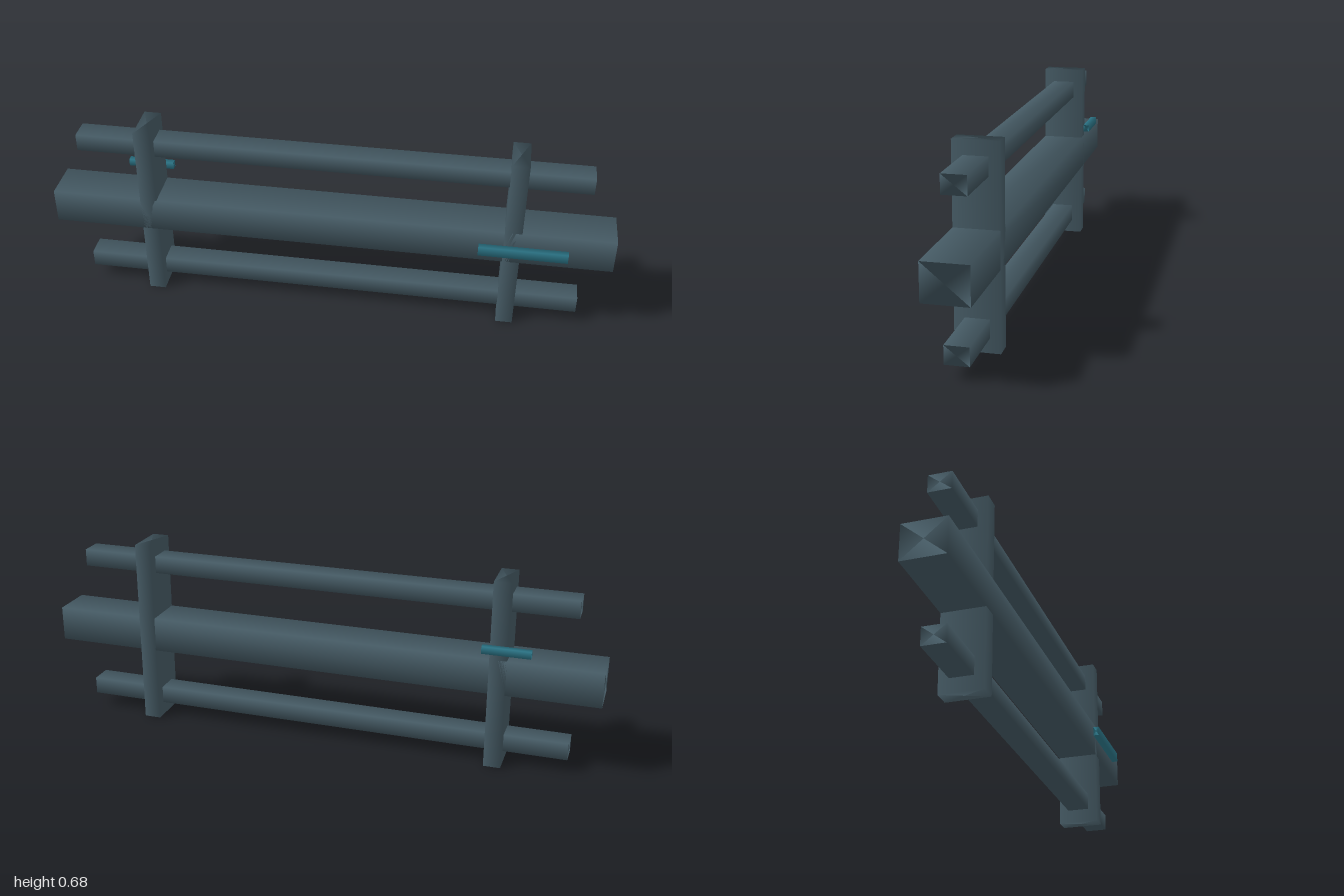
import * as THREE from 'three';

const slate = new THREE.MeshStandardMaterial({ color: 0x455a64 });
const teal = new THREE.MeshStandardMaterial({ color: 0x2b7486 });

// Four-sided bar along y, softly shaded round its corners, with flat closed ends.
function barGeometry() {
  const g = new THREE.CylinderGeometry(Math.SQRT1_2, Math.SQRT1_2, 1, 4, 3, true);
  g.rotateY(Math.PI / 4);
  const p = g.attributes.position;
  for (let i = 0; i < p.count; i++) {
    const row = Math.floor(i / 5); // the outer rows close to the centre of each end
    const k = row === 0 || row === 3 ? 0 : 1;
    p.setXYZ(i, p.getX(i) * k, row < 2 ? 0.5 : -0.5, p.getZ(i) * k);
  }
  return g;
}

export function createModel() {
  const model = new THREE.Group();

  function addBar(name, material, axis, [w, h, d], [x, y, z]) {
    const g = barGeometry();
    if (axis === 'x') g.rotateZ(-Math.PI / 2);
    g.scale(w, h, d);
    const mesh = new THREE.Mesh(g, material);
    mesh.name = name;
    mesh.position.set(x, y, z);
    model.add(mesh);
  }

  // Thick central beam
  addBar('mainBeam', slate, 'x', [2, 0.125, 0.15], [0, 0.338, -0.001]);

  // Thin rails below and above the beam
  addBar('lowerRail', slate, 'x', [1.8, 0.062, 0.08], [0, 0.081, -0.001]);
  addBar('upperRail', slate, 'x', [1.8, 0.062, 0.08], [0, 0.597, -0.001]);

  // Upright cross plates
  for (const side of [-1, 1]) {
    addBar(side < 0 ? 'rightPlate' : 'leftPlate', slate, 'y',
      [0.06, 0.676, 0.15], [side * 0.648, 0.338, -0.001]);
  }

  // Floating light strips, front and back
  addBar('frontStrip', teal, 'x', [0.308, 0.035, 0.022], [0.686, 0.339, 0.101]);
  addBar('backStrip', teal, 'x', [0.166, 0.026, 0.022], [-0.678, 0.445, -0.099]);

  return model;
}
